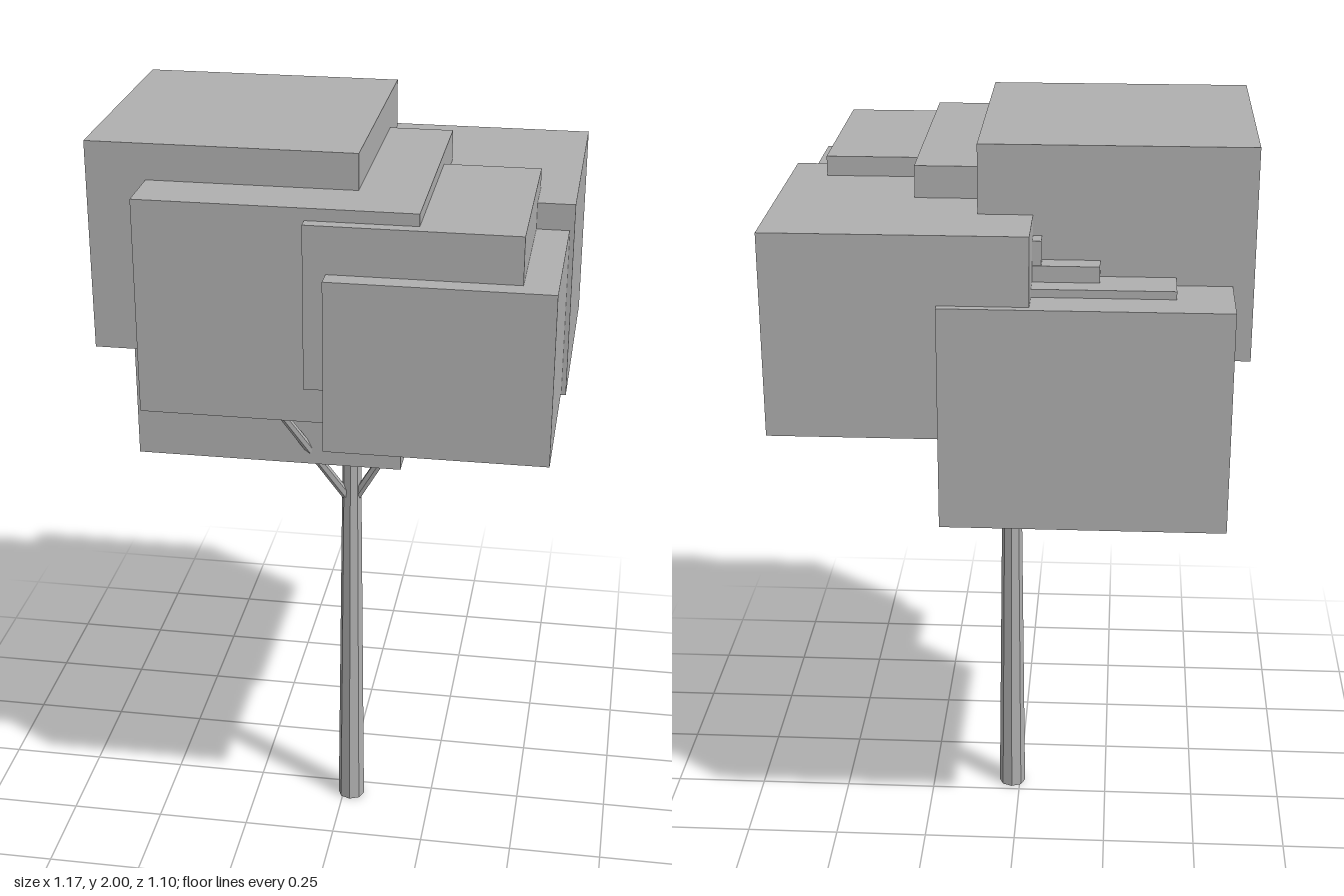
import * as THREE from 'three';

export function createModel() {
  const model = new THREE.Group();
  model.name = 'tree';
  const grey = new THREE.MeshStandardMaterial({ color: 0xb0b0b0, flatShading: true });
  grey.name = 'plain grey';

  function add(name, geometry) {
    const mesh = new THREE.Mesh(geometry, grey);
    mesh.name = name;
    model.add(mesh);
    return mesh;
  }

  // Tapered trunk, running up into the foliage
  add('trunk', new THREE.CylinderGeometry(0.024, 0.037, 1.2, 8)).position.set(0.022, 0.6, 0.052);

  // Three thin branches fanning out of the trunk
  const up = new THREE.Vector3(0, 1, 0);
  const branches = [
    [[0.02, 0.95, 0.05], [-0.155, 1.292, 0.21]],
    [[0.025, 0.95, 0.05], [0.255, 1.36, 0.125]],
    [[0.02, 0.95, 0.045], [-0.04, 1.31, -0.15]],
  ];
  for (const [from, to] of branches) {
    const a = new THREE.Vector3(...from);
    const b = new THREE.Vector3(...to);
    const dir = b.clone().sub(a);
    const branch = add('branch', new THREE.CylinderGeometry(0.011, 0.013, dir.length(), 6));
    branch.position.copy(a).add(b).multiplyScalar(0.5);
    branch.quaternion.setFromUnitVectors(up, dir.normalize());
  }

  // Overlapping foliage blocks: min corner, max corner
  const blocks = [
    [[-0.585, 1.47, -0.35], [0.08, 2.0, 0.32]],
    [[-0.437, 1.37, -0.213], [0.244, 1.91, 0.468]],
    [[-0.025, 1.47, -0.017], [0.488, 1.88, 0.5]],
    [[0.03, 1.333, 0.01], [0.57, 1.763, 0.55]],
    [[-0.053, 1.323, -0.532], [0.582, 1.83, 0.102]],
    [[-0.534, 1.1, -0.553], [0.165, 1.66, 0.146]],
    [[-0.398, 1.2, -0.457], [0.1, 1.68, 0.04]],
    [[-0.215, 1.33, -0.402], [0.29, 1.72, 0.1]],
    [[-0.075, 1.315, -0.398], [0.46, 1.78, 0.137]],
  ];
  for (const [min, max] of blocks) {
    const size = max.map((v, i) => v - min[i]);
    add('foliageBlock', new THREE.BoxGeometry(...size))
      .position.set(...max.map((v, i) => (v + min[i]) / 2));
  }

  return model;
}
